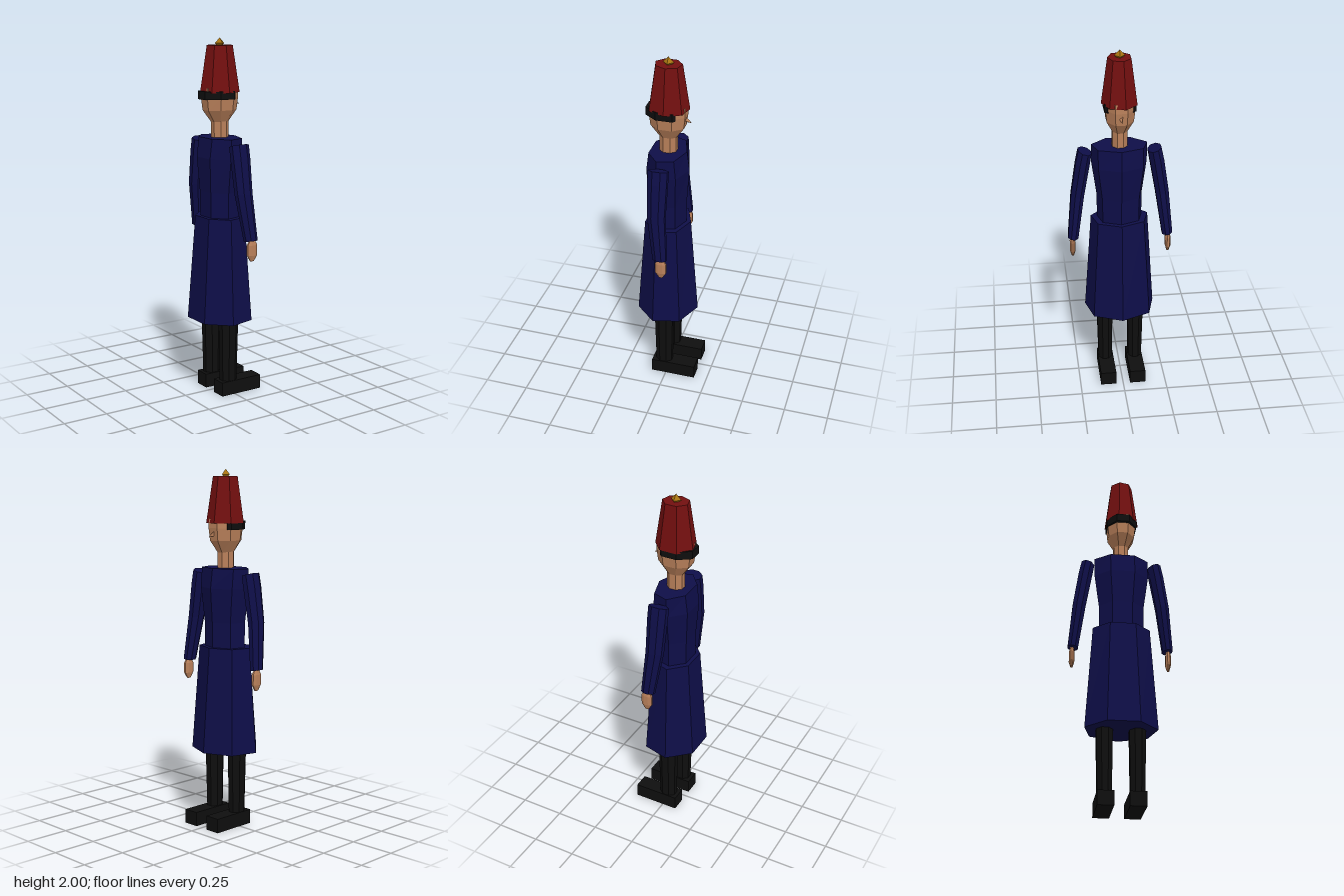
import * as THREE from 'three';

const mat = (name, color) => {
  const m = new THREE.MeshStandardMaterial({ color, flatShading: true });
  m.name = name;
  return m;
};

// Closed faceted solid through elliptical rings [cx, y, cz, rx, rz, tilt], listed bottom to top.
function loft(rings, sides, phase = 0) {
  const pos = [];
  const point = (r, k) => {
    const a = phase + (k % sides) * Math.PI * 2 / sides;
    const [cx, y, cz, rx, rz, tilt = 0] = r;
    return [cx + rx * Math.cos(a), y + tilt * Math.sin(a), cz + rz * Math.sin(a)];
  };
  const tri = (...pts) => pts.forEach(p => pos.push(...p));
  const first = rings[0], last = rings[rings.length - 1];
  for (let k = 0; k < sides; k++) {
    for (let i = 0; i < rings.length - 1; i++) {
      const a = point(rings[i], k), b = point(rings[i], k + 1);
      const c = point(rings[i + 1], k), d = point(rings[i + 1], k + 1);
      tri(a, c, b);
      tri(b, c, d);
    }
    tri(first.slice(0, 3), point(first, k), point(first, k + 1));
    tri(last.slice(0, 3), point(last, k + 1), point(last, k));
  }
  const g = new THREE.BufferGeometry();
  g.setAttribute('position', new THREE.Float32BufferAttribute(pos, 3));
  g.computeVertexNormals();
  return g;
}

export function createModel() {
  const navy = mat('navy cloth', 0x0e0e48);
  const red = mat('red felt', 0x720f0f);
  const black = mat('black', 0x0e0e0e);
  const skin = mat('skin', 0xb9805a);
  const gold = mat('gold', 0xa87412);

  const model = new THREE.Group();
  model.name = 'figure';
  const add = (name, geometry, material) => {
    const mesh = new THREE.Mesh(geometry, material);
    mesh.name = name;
    model.add(mesh);
    return mesh;
  };
  const X = -0.018; // body axis; the figure looks along +x
  const flat8 = Math.PI / 8;

  // Coat
  add('coatSkirt', loft([[X, 0.43, 0, 0.176, 0.205], [X, 1.02, 0, 0.129, 0.164]], 7), navy);
  add('coatTorso', loft([
    [X, 1.0, 0, 0.103, 0.128], [X, 1.16, 0, 0.105, 0.13],
    [X, 1.35, 0, 0.118, 0.157], [X, 1.46, 0, 0.103, 0.158],
  ], 7), navy);

  // Neck and head
  add('neck', loft([[X, 1.44, 0, 0.05, 0.045], [X, 1.57, 0, 0.05, 0.045]], 8, flat8), skin);
  add('head', loft([
    [X, 1.545, 0, 0.05, 0.043], [X, 1.61, 0, 0.099, 0.079],
    [X, 1.68, 0, 0.108, 0.087], [X, 1.73, 0, 0.106, 0.086],
  ], 8, flat8), skin);

  // Nose: three-sided pyramid
  const nose = new THREE.ConeGeometry(0.022, 0.05, 3);
  nose.rotateZ(-Math.PI / 2);
  nose.scale(1, 1, 0.75);
  nose.rotateZ(-0.35);
  add('nose', nose, skin).position.set(0.087, 1.645, 0);

  // Hair wrapping the back of the head
  const outline = [[0.04, -0.07], [0.025, -0.086], [-0.065, -0.086], [-0.135, -0.036],
    [-0.135, 0.036], [-0.065, 0.086], [0.025, 0.086], [0.04, 0.07]];
  const hair = new THREE.ExtrudeGeometry(
    new THREE.Shape(outline.map(p => new THREE.Vector2(...p))), { depth: 0.045, bevelEnabled: false });
  hair.rotateX(-Math.PI / 2);
  add('hair', hair, black).position.y = 1.67;

  // Hat and its ornament
  add('hat', loft([[X, 1.706, 0, 0.115, 0.1], [X, 1.96, 0, 0.075, 0.065]], 7, Math.PI / 2), red);
  add('hatOrnament', new THREE.OctahedronGeometry(0.03), gold).position.set(X, 1.97, 0);

  for (const s of [1, -1]) {
    const side = s > 0 ? 'plusZ' : 'minusZ';
    // Sleeve: shoulder, elbow and cuff
    add(`${side}Sleeve`, loft([
      [0.01, 0.918, s * 0.266, 0.041, 0.031, s * 0.004],
      [-0.017, 1.17, s * 0.236, 0.052, 0.039, s * 0.006],
      [X, 1.36, s * 0.205, 0.058, 0.041, s * 0.01],
      [X, 1.432, s * 0.191, 0.058, 0.039, s * 0.012],
    ], 8, flat8), navy);
    add(`${side}Hand`, loft([
      [0.016, 0.806, s * 0.27, 0.012, 0.007], [0.016, 0.838, s * 0.27, 0.033, 0.016],
      [0.016, 0.895, s * 0.27, 0.033, 0.016], [0.016, 0.925, s * 0.27, 0.015, 0.009],
    ], 8, flat8), skin);
    // Leg and boot
    add(`${side}Leg`, loft([
      [X, 0.06, s * 0.088, 0.05, 0.042], [X, 0.5, s * 0.09, 0.06, 0.05],
    ], 8, flat8), black);
    add(`${side}Boot`, new THREE.BoxGeometry(0.26, 0.08, 0.09), black).position.set(0.045, 0.04, s * 0.086);
  }
  return model;
}
